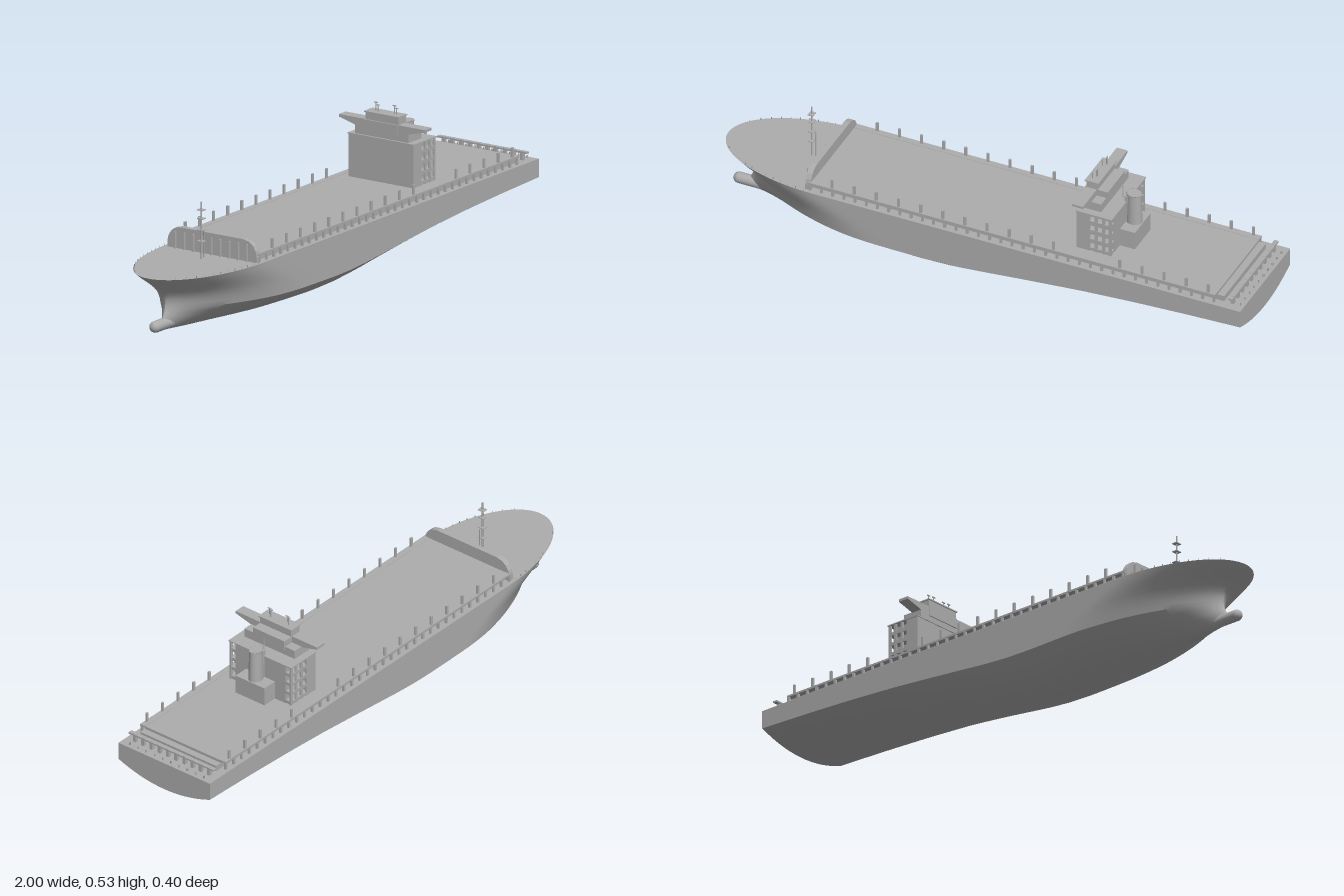
import * as THREE from 'three';
import { toCreasedNormals } from 'three/addons/utils/BufferGeometryUtils.js';

const DECK = 0.23;
const lerp = THREE.MathUtils.lerp;

// Linear interpolation through [position, value] pairs
function sample(table, p) {
  for (let i = 1; i < table.length; i++) {
    const [a, va] = table[i - 1], [b, vb] = table[i];
    if (p <= b) return lerp(va, vb, Math.max(0, (p - a) / (b - a)));
  }
  return table[table.length - 1][1];
}

const KEEL = [[-0.95, 0.034], [-0.8, 0.022], [-0.5, 0.006], [-0.2, 0], [-0.1, 0.003], [0, 0.014],
  [0.2, 0.046], [0.4, 0.076], [0.6, 0.098], [0.8, 0.114], [1, 0.126]];
const STEM = [[0, -0.93], [0.2, -0.918], [0.35, -0.903], [0.5, -0.9], [0.62, -0.909],
  [0.72, -0.928], [0.82, -0.955], [0.92, -0.983], [1, -1]];

// Hull skin from cross-sections, closed by the deck and the transom
function hullGeometry() {
  const columns = 64, bilge = 0.38, levels = [];
  for (let k = 0; k <= 9; k++) levels.push([bilge * (k / 9) ** 2, k / 9]);
  for (let k = 1; k <= 8; k++) levels.push([lerp(bilge, 1, k / 8), 1]);
  const half = levels.length - 1, last = half * 2, stride = last + 1;
  const pos = [], idx = [];
  for (let i = 0; i <= columns; i++) {
    const s = (i / columns) ** 1.8;
    for (let j = 0; j <= last; j++) {
      const [t, fullness] = levels[Math.abs(half - j)];
      const stem = sample(STEM, t), x = lerp(stem, 1, s);
      const keel = sample(KEEL, x);
      const e = Math.min(1, (x - stem) / lerp(0.8, 0.4, Math.sqrt(t)));
      const entry = Math.pow(1 - (1 - e) ** 2, lerp(0.9, 0.5, t));
      pos.push(x, lerp(keel, DECK, t), Math.sign(half - j) * 0.2 * fullness * entry);
    }
  }
  for (let i = 0; i < columns; i++) {
    const a = i * stride, b = a + stride;
    for (let j = 0; j < last; j++) idx.push(a + j, a + j + 1, b + j, a + j + 1, b + j + 1, b + j);
    idx.push(a + last, a, b + last, a, b, b + last);
  }
  const e = columns * stride;
  for (let j = 0; j < half; j++) {
    const r = e + last - j;
    idx.push(e + j, e + j + 1, r, e + j + 1, r - 1, r);
  }
  const g = new THREE.BufferGeometry();
  g.setAttribute('position', new THREE.Float32BufferAttribute(pos, 3));
  g.setIndex(idx);
  return toCreasedNormals(g, 0.45);
}

export function createModel() {
  const ship = new THREE.Group();
  ship.name = 'cargoShip';
  const grey = new THREE.MeshStandardMaterial({ color: 0xacacac });
  grey.name = 'ship grey';

  function add(name, geometry, x = 0, y = 0, z = 0) {
    const m = new THREE.Mesh(geometry, grey);
    m.name = name;
    m.position.set(x, y, z);
    ship.add(m);
    return m;
  }
  // Box given by its limits on each axis
  const box = (name, x0, x1, y0, y1, z0, z1) =>
    add(name, new THREE.BoxGeometry(x1 - x0, y1 - y0, z1 - z0), (x0 + x1) / 2, (y0 + y1) / 2, (z0 + z1) / 2);
  const post = (name, x, y0, y1, z, r) =>
    add(name, new THREE.CylinderGeometry(r, r, y1 - y0, 6), x, (y0 + y1) / 2, z);
  // Outline in z and y, extruded along x
  function slab(name, points, x0, x1) {
    const shape = new THREE.Shape(points.map(([z, y]) => new THREE.Vector2(-z, y)));
    const g = new THREE.ExtrudeGeometry(shape, { depth: x1 - x0, bevelEnabled: false });
    return add(name, g.rotateY(Math.PI / 2), x0);
  }
  const mirrored = (pts) => [...pts, ...pts.map(([z, y]) => [-z, y]).reverse()];

  // Hull and bulbous bow
  add('hull', hullGeometry());
  add('bulbousBow', new THREE.CapsuleGeometry(0.02, 0.14, 8, 16).rotateZ(Math.PI / 2), -0.89, 0.052);

  // Raised cargo deck with side walkways on pillars
  box('cargoDeck', -0.62, 0.9, DECK - 0.005, 0.26, -0.166, 0.166);
  box('aftDeckStep', 0.9, 0.925, DECK - 0.005, 0.25, -0.166, 0.166);
  for (const side of [-1, 1]) {
    box('walkway', -0.62, 0.9, 0.254, 0.261, side * 0.175 - 0.012, side * 0.175 + 0.012);
    for (let i = 0; i <= 36; i++) {
      const x = -0.61 + i * 0.0418;
      box('walkwayPillar', x - 0.004, x + 0.004, DECK, 0.255, side * 0.183 - 0.004, side * 0.183 + 0.004);
    }
    for (let i = 0; i < 18; i++) {
      const x = -0.53 + i * 0.0825;
      if (x > 0.33 && x < 0.52) continue;
      box('cargoGuide', x - 0.0045, x + 0.0045, 0.255, 0.295, side * 0.18 - 0.0035, side * 0.18 + 0.0035);
    }
    for (let i = 0; i < 12; i++) {
      const x = -0.96 + i * 0.03;
      const z = side * (0.2 * Math.sqrt(1 - ((x + 0.6) / 0.4) ** 2) - 0.004);
      post('bowRailPost', x, DECK, 0.238, z, 0.0012);
    }
  }

  // Mooring gallery at the stern
  for (let i = 0; i < 10; i++) {
    const z = -0.162 + i * 0.036;
    box('sternPillar', 0.95, 0.962, DECK, 0.262, z - 0.006, z + 0.006);
    post('sternBollard', 0.985, DECK, 0.24, z, 0.003);
  }
  box('sternGalleryBeam', 0.948, 0.964, 0.255, 0.261, -0.185, 0.185);

  // Breakwater with rounded shoulders and ribs
  const arch = [[0.185, DECK], [0.185, 0.25], [0.18, 0.27], [0.17, 0.287], [0.155, 0.299], [0.13, 0.305]];
  slab('breakwater', mirrored(arch), -0.628, -0.608);
  for (let i = -4; i <= 4; i++)
    box('breakwaterRib', -0.637, -0.626, DECK, 0.29, i * 0.037 - 0.002, i * 0.037 + 0.002);

  // Foremast with crosstrees and ladder
  post('foremast', -0.69, DECK, 0.43, 0, 0.0032);
  post('mastLadder', -0.674, DECK, 0.33, 0, 0.0014);
  for (const y of [0.29, 0.33, 0.37, 0.4])
    box('crosstree', -0.7, -0.68, y, y + 0.003, -0.012, 0.012);

  // Accommodation tower with open side galleries
  box('towerFront', 0.36, 0.4, 0.255, 0.41, -0.134, 0.134);
  box('towerCore', 0.4, 0.488, 0.255, 0.41, -0.11, 0.11);
  box('towerRoof', 0.357, 0.492, 0.41, 0.414, -0.137, 0.137);
  for (const side of [-1, 1]) {
    for (const y of [0.262, 0.298, 0.335, 0.372])
      box('galleryFloor', 0.4, 0.488, y, y + 0.012, side * 0.122 - 0.012, side * 0.122 + 0.012);
    for (const x of [0.403, 0.431, 0.459, 0.484])
      box('galleryPost', x - 0.005, x + 0.005, 0.26, 0.41, side * 0.131 - 0.003, side * 0.131 + 0.003);
  }

  // Bridge with tapering wings, wheelhouse and roof
  box('bridgeBase', 0.364, 0.44, 0.414, 0.446, -0.11, 0.11);
  slab('bridgeWings', mirrored([[0.11, 0.444], [0.178, 0.461], [0.178, 0.47]]), 0.364, 0.404);
  box('bridge', 0.36, 0.445, 0.435, 0.47, -0.068, 0.068);
  box('wheelhouse', 0.365, 0.408, 0.47, 0.495, -0.068, 0.068);
  box('wheelhouseRoof', 0.361, 0.412, 0.495, 0.499, -0.072, 0.072);

  // Roof antennas
  for (const [x, z, top] of [[0.38, 0.049, 0.524], [0.39, 0.034, 0.529], [0.38, -0.028, 0.524], [0.39, -0.042, 0.529]]) {
    post('antennaPole', x, 0.499, top, z, 0.0018);
    box('radarBar', x - 0.002, x + 0.002, top - 0.003, top, z - 0.007, z + 0.007);
  }
  post('signalMast', 0.47, 0.41, 0.465, 0, 0.002);

  // Engine casing and funnel
  box('engineCasing', 0.486, 0.544, 0.255, 0.328, -0.063, 0.063);
  const funnel = new THREE.CylinderGeometry(0.9, 1, 0.12, 24);
  add('funnel', funnel.scale(0.029, 1, 0.024), 0.512, 0.384);
  const rim = new THREE.TorusGeometry(0.9, 0.08, 6, 24).rotateX(Math.PI / 2);
  add('funnelRim', rim.scale(0.029, 0.03, 0.024), 0.512, 0.443);
  box('funnelTrunk', 0.484, 0.512, 0.32, 0.435, -0.018, 0.018);

  return ship;
}
